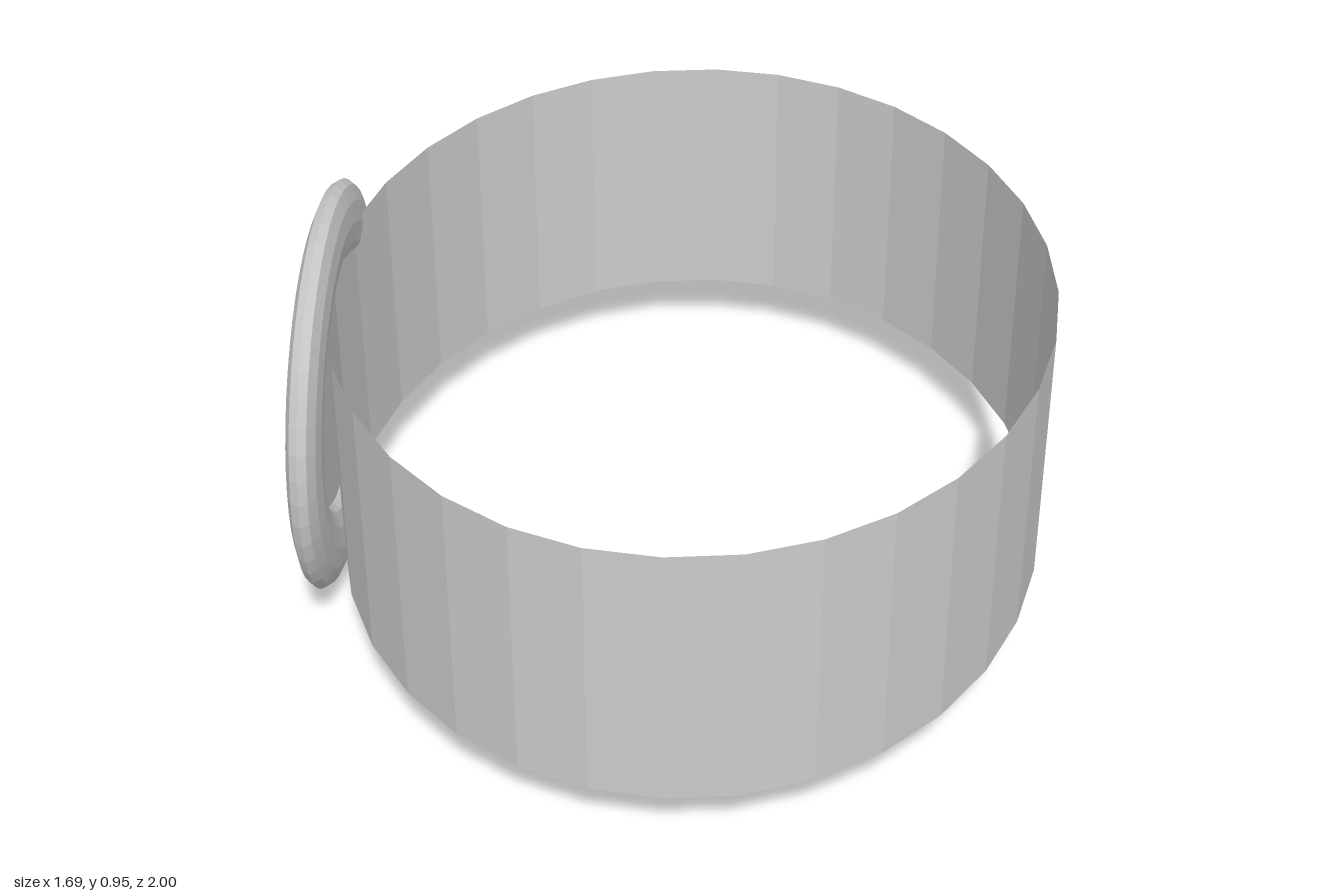
import * as THREE from 'three';

export function createModel() {
  const model = new THREE.Group();
  const material = new THREE.MeshStandardMaterial({
    color: 0xcccccc, flatShading: true, side: THREE.DoubleSide,
  });

  function addPart(name, geometry, parent) {
    const mesh = new THREE.Mesh(geometry, material);
    mesh.name = name;
    parent.add(mesh);
    return mesh;
  }

  // Thin open band with an oval outline
  const band = addPart('band', new THREE.CylinderGeometry(1, 1, 0.632, 32, 1, true), model);
  band.scale.set(0.812, 1, 1);
  band.position.set(0.033, 0.48, 0);

  // Round medallion on the band's right side, leaning slightly inward
  const medallion = new THREE.Group();
  medallion.name = 'medallion';
  medallion.position.set(-0.797, 0.478, 0);
  medallion.rotation.z = -0.027;
  model.add(medallion);

  // Flattened rim
  const rim = new THREE.TorusGeometry(0.381, 0.095, 12, 48);
  rim.scale(1, 1, 0.4);
  rim.rotateY(-Math.PI / 2);
  addPart('medallionRim', rim, medallion);

  // Flat recessed face closing the rim
  const face = new THREE.CircleGeometry(0.29, 48);
  face.rotateY(-Math.PI / 2);
  addPart('medallionFace', face, medallion);

  return model;
}
